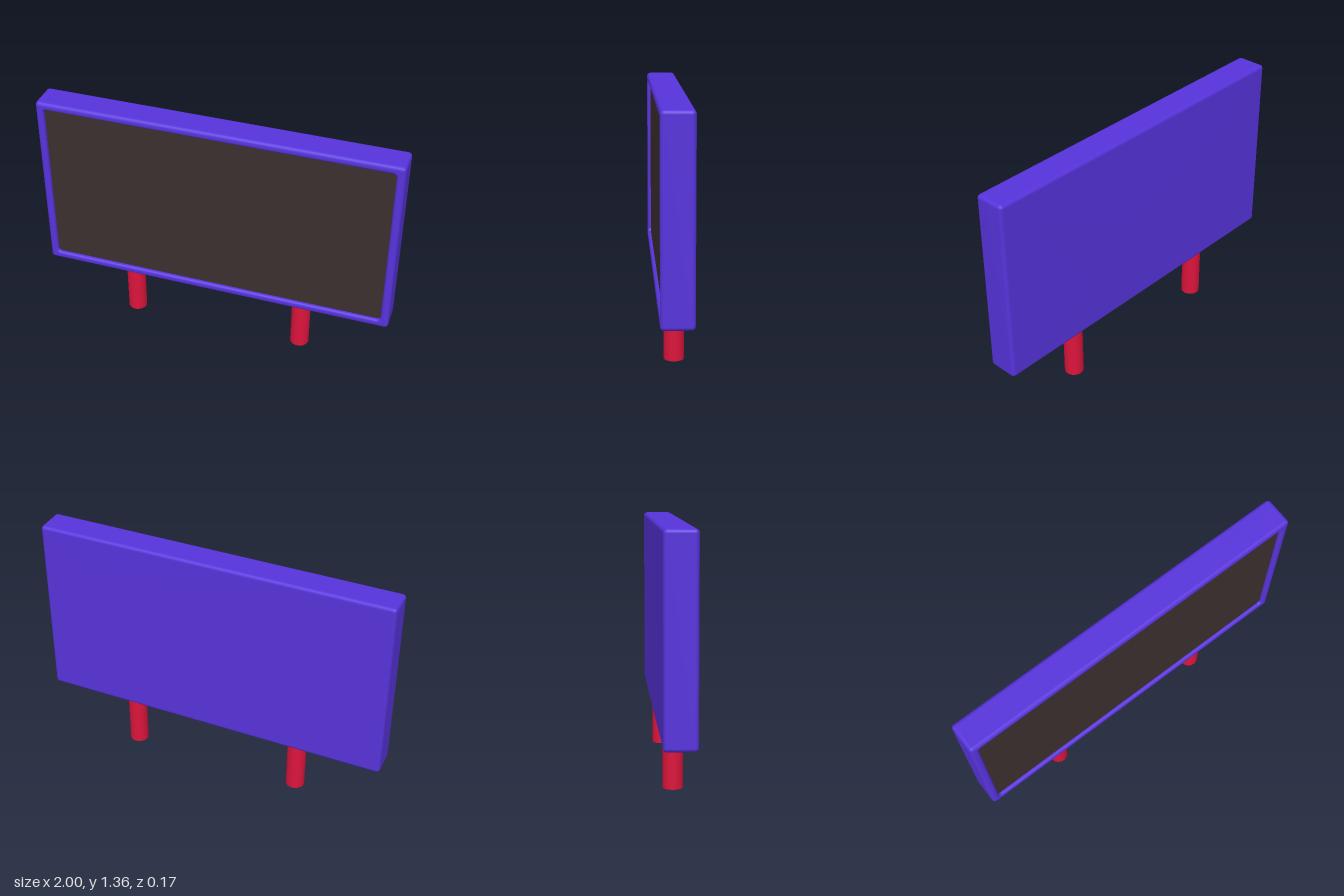
import * as THREE from 'three';

const W = 1, H = 0.525, D = 0.085;   // half sizes of the panel
const CENTRE_Y = 0.83;
const EDGE = 0.02, LIP = 0.015, BORDER = 0.045, RECESS = 0.02;

// Counter-clockwise outline of a rounded rectangle, inset from the panel's edge
function outline(inset, radius, steps = 5) {
  const pts = [];
  [[1, 1], [-1, 1], [-1, -1], [1, -1]].forEach(([sx, sy], corner) => {
    const cx = sx * (W - inset - radius), cy = sy * (H - inset - radius);
    for (let i = 0; i <= steps; i++) {
      const a = (corner + i / steps) * Math.PI / 2;
      pts.push([cx + radius * Math.cos(a), cy + radius * Math.sin(a)]);
    }
  });
  return pts;
}

// Casing: back face, rounded edges, front border and rounded lip into the recess
function casingGeometry() {
  const steps = 4, profile = []; // entries: inset, z, corner radius
  const arc = (draw) => {
    for (let i = 0; i <= steps; i++) draw(i / steps * Math.PI / 2);
  };
  const outer = (inset, z) => profile.push([inset, z, Math.max(EDGE - inset, 0.001)]);
  const inner = (inset, z) => profile.push([inset, z, 0.02 + BORDER - inset]);
  arc(a => outer(EDGE * (1 - Math.sin(a)), -D + EDGE * (1 - Math.cos(a))));
  arc(a => outer(EDGE * (1 - Math.cos(a)), D - EDGE * (1 - Math.sin(a))));
  arc(a => inner(BORDER - LIP * (1 - Math.sin(a)), D - LIP * (1 - Math.cos(a))));
  inner(BORDER, D - RECESS - 0.005);

  const pos = [0, 0, -D], index = [];
  let n = 0;
  profile.forEach(([inset, z, radius], ring) => {
    const pts = outline(inset, radius);
    n = pts.length;
    pts.forEach(([x, y], j) => {
      pos.push(x, y, z);
      const k = (j + 1) % n, b = 1 + ring * n, a = b - n;
      if (ring === 0) index.push(0, b + k, b + j);
      else index.push(a + j, a + k, b + k, a + j, b + k, b + j);
    });
  });
  const geo = new THREE.BufferGeometry();
  geo.setAttribute('position', new THREE.Float32BufferAttribute(pos, 3));
  geo.setIndex(index);
  geo.computeVertexNormals();
  return geo;
}

export function createModel() {
  const model = new THREE.Group();
  model.name = 'billboard';
  const add = (name, geometry, color, x, y, z) => {
    const mesh = new THREE.Mesh(geometry, new THREE.MeshStandardMaterial({ color }));
    mesh.name = name;
    mesh.position.set(x, y, z);
    model.add(mesh);
  };

  add('casing', casingGeometry(), 0x5733dc, 0, CENTRE_Y, 0);

  // Dark display face set back behind the border
  const face = new THREE.Shape(outline(BORDER, 0.02).map(([x, y]) => new THREE.Vector2(x, y)));
  add('screen', new THREE.ShapeGeometry(face), 0x3d2f2f, 0, CENTRE_Y, D - RECESS);

  // Two round posts reaching a little into the casing
  const post = new THREE.CylinderGeometry(0.053, 0.053, 0.33, 32);
  add('rightPost', post, 0xdc143c, -0.503, 0.165, -0.006);
  add('leftPost', post, 0xdc143c, 0.495, 0.165, -0.006);
  return model;
}
